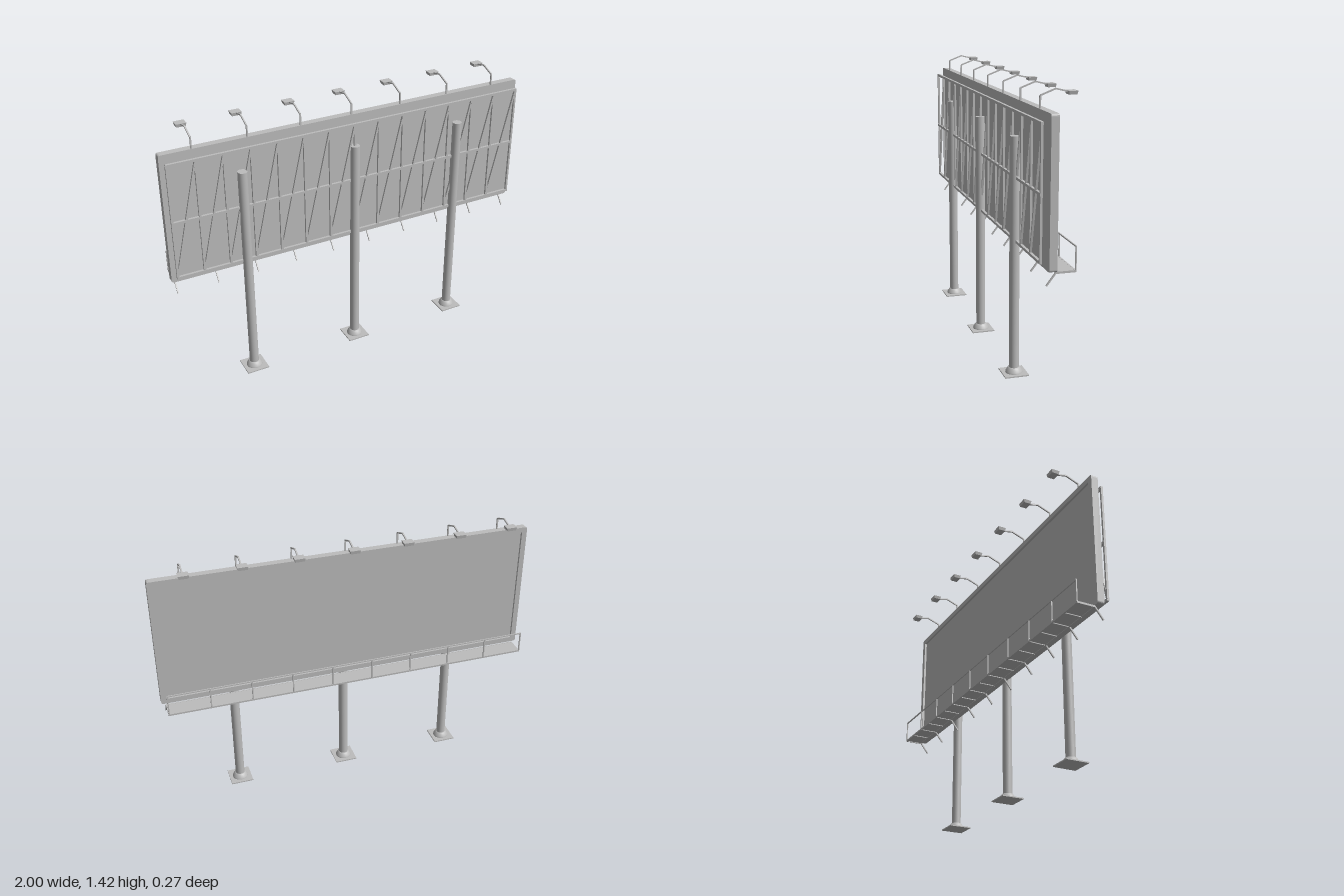
import * as THREE from 'three';

const V = (x, y, z) => new THREE.Vector3(x, y, z);

export function createModel() {
  const root = new THREE.Group();
  root.name = 'billboard';
  const grey = new THREE.MeshStandardMaterial({ color: 0xbcbcbc });
  grey.name = 'grey steel';

  const group = (name) => {
    const g = new THREE.Group();
    g.name = name;
    root.add(g);
    return g;
  };
  const add = (parent, name, geo, x = 0, y = 0, z = 0) => {
    const m = new THREE.Mesh(geo, grey);
    m.name = name;
    m.position.set(x, y, z);
    parent.add(m);
    return m;
  };
  const box = (parent, name, w, h, d, x, y, z) =>
    add(parent, name, new THREE.BoxGeometry(w, h, d), x, y, z);
  // Square bar between two points
  const bar = (parent, name, a, b, t) => {
    const m = box(parent, name, t, t, a.distanceTo(b), 0, 0, 0);
    m.position.copy(a).add(b).multiplyScalar(0.5);
    m.lookAt(b);
    return m;
  };

  // Display board: rounded frame with the sheet recessed at the back
  const board = group('board');
  const s = new THREE.Shape();
  const w = 1, h = 0.35, r = 0.012;
  s.moveTo(-w + r, -h);
  s.lineTo(w - r, -h);
  s.quadraticCurveTo(w, -h, w, -h + r);
  s.lineTo(w, h - r);
  s.quadraticCurveTo(w, h, w - r, h);
  s.lineTo(-w + r, h);
  s.quadraticCurveTo(-w, h, -w, h - r);
  s.lineTo(-w, -h + r);
  s.quadraticCurveTo(-w, -h, -w + r, -h);
  const hw = 0.972, hh = 0.322;
  s.holes.push(new THREE.Path([
    new THREE.Vector2(-hw, -hh), new THREE.Vector2(-hw, hh),
    new THREE.Vector2(hw, hh), new THREE.Vector2(hw, -hh),
  ]));
  add(board, 'boardFrame',
    new THREE.ExtrudeGeometry(s, { depth: 0.037, bevelEnabled: false, curveSegments: 4 }), 0, 0.98, 0);
  box(board, 'boardSheet', 2 * hw, 2 * hh, 0.025, 0, 0.98, 0.0245);

  // Posts with flared feet and base plates
  const posts = group('posts');
  const footProfile = [[0.042, 0], [0.041, 0.008], [0.03, 0.026], [0.024, 0.028]]
    .map(([x, y]) => new THREE.Vector2(x, y));
  for (const x of [-0.61, 0, 0.61]) {
    add(posts, 'post', new THREE.CylinderGeometry(0.0245, 0.0245, 1.17, 24), x, 0.59, 0.075);
    add(posts, 'postFoot', new THREE.LatheGeometry(footProfile, 24), x, 0.005, 0.075);
    box(posts, 'basePlate', 0.12, 0.006, 0.12, x, 0.003, 0.075);
  }

  // Truss: three rails, uprights and one diagonal in each bay
  const truss = group('truss');
  const tz = 0.071, bays = 14, left = -0.976, step = 0.1394;
  for (const y of [0.674, 0.98, 1.289]) {
    box(truss, 'trussRail', 1.962, 0.013, 0.013, 0, y, tz);
  }
  for (let i = 0; i <= bays; i++) {
    const x = left + i * step;
    box(truss, 'trussUpright', 0.011, 0.62, 0.011, x, 0.981, tz);
    if (i < bays) bar(truss, 'trussDiagonal', V(x, 0.676, tz), V(x + step, 1.287, tz), 0.01);
  }

  // Walkway with joists, brackets and railing along the back
  const walkway = group('walkway');
  box(walkway, 'walkwayDeck', 1.958, 0.006, 0.096, 0, 0.623, -0.048);
  for (const z of [-0.003, -0.093]) box(walkway, 'deckEdge', 1.958, 0.009, 0.007, 0, 0.622, z);
  for (let i = 0; i <= 18; i++) {
    box(walkway, 'deckJoist', 0.006, 0.006, 0.09, left + (i * 1.952) / 18, 0.619, -0.048);
  }
  for (let i = 0; i < 10; i++) {
    const x = left + (i * 1.952) / 9;
    bar(walkway, 'walkwayBracket', V(x, 0.563, 0.043), V(x, 0.624, -0.004), 0.007);
    box(walkway, 'railPost', 0.006, 0.115, 0.006, x, 0.68, -0.095);
  }
  box(walkway, 'handRail', 1.958, 0.006, 0.006, 0, 0.735, -0.095);

  // Floodlights on bent arms over the top edge
  const lights = group('lights');
  for (let i = -3; i <= 3; i++) {
    const x = i * 0.2793;
    const path = [V(x, 1.325, 0.033), V(x, 1.388, 0.033), V(x, 1.415, -0.038), V(x, 1.4, -0.1)];
    for (let k = 0; k < 3; k++) bar(lights, 'lampArm', path[k], path[k + 1], 0.007);
    // Lamp head: box narrowed at the underside
    const head = new THREE.BoxGeometry(0.054, 0.017, 0.043);
    const p = head.attributes.position;
    for (let k = 0; k < p.count; k++) {
      if (p.getY(k) < 0) p.setXYZ(k, p.getX(k) * 0.86, p.getY(k), p.getZ(k) * 0.86);
    }
    head.computeVertexNormals();
    add(lights, 'lampHead', head, x, 1.397, -0.112);
  }
  return root;
}
